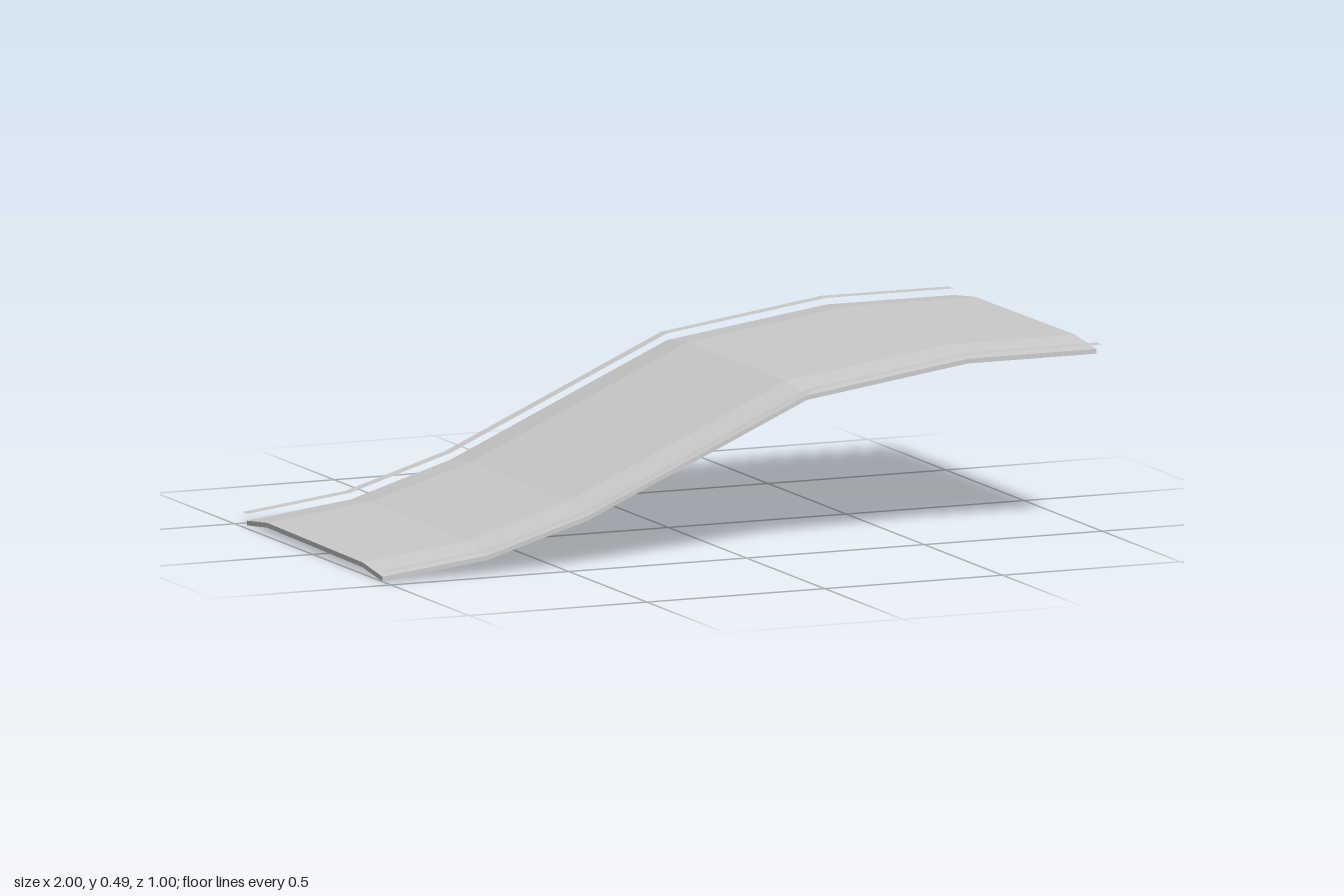
import * as THREE from 'three';

// Stations along the road: x, crown height, sideways shift, skew of the cross-section, roll
const stations = [
  [-0.99, 0.03, -0.009, -0.021, 0],
  [-0.7, 0.066, -0.004, -0.018, 0],
  [-0.42, 0.151, 0.001, -0.014, 0],
  [0.19, 0.423, 0.007, -0.007, 0.002],
  [0.64, 0.486, 0.009, -0.003, 0.004],
  [1, 0.486, 0.01, 0, 0.005],
];

// Sweep a cross-section of [z, y] points through the stations
function sweep(section, closed) {
  const n = section.length;
  const positions = [];
  const index = [];
  for (const [x, y, shift, skew, roll] of stations) {
    for (const [sz, sy] of section) {
      positions.push(x + skew * sz, y + sy + roll * sz, shift + sz);
    }
  }
  for (let i = 0; i < stations.length - 1; i++) {
    for (let j = 0; j < (closed ? n : n - 1); j++) {
      const a = i * n + j;
      const b = i * n + ((j + 1) % n);
      index.push(a, b, b + n, a, b + n, a + n);
    }
  }
  if (closed) {
    // End caps, one quad per pair of top and bottom points
    const end = (stations.length - 1) * n;
    for (let j = 0; j < n / 2 - 1; j++) {
      const [a, b, c, d] = [j, j + 1, n - 2 - j, n - 1 - j];
      index.push(a, c, b, a, d, c);
      index.push(end + a, end + b, end + c, end + a, end + c, end + d);
    }
  }
  const geometry = new THREE.BufferGeometry();
  geometry.setAttribute('position', new THREE.Float32BufferAttribute(positions, 3));
  geometry.setIndex(index);
  const flat = geometry.toNonIndexed();
  flat.computeVertexNormals();
  return flat;
}

export function createModel() {
  const group = new THREE.Group();
  group.name = 'roadRamp';
  const material = new THREE.MeshStandardMaterial({
    color: 0xcccccc, flatShading: true, side: THREE.DoubleSide,
  });
  const add = (name, geometry) => {
    const mesh = new THREE.Mesh(geometry, material);
    mesh.name = name;
    group.add(mesh);
  };

  // Thin road deck with sloping shoulders
  const top = [[-0.455, -0.016], [-0.32, 0], [0.32, 0], [0.455, -0.016]];
  const bottom = top.map(([z, y]) => [z, y - 0.0125]).reverse();
  add('roadDeck', sweep([...top, ...bottom], true));

  // Flat edge strips floating just above the shoulders
  add('leftOrFrontEdge', sweep([[0.456, 0.001], [0.49, 0.001]], false));
  add('backEdge', sweep([[-0.49, 0.001], [-0.456, 0.001]], false));
  group.children[1].name = 'frontEdge';
  return group;
}
